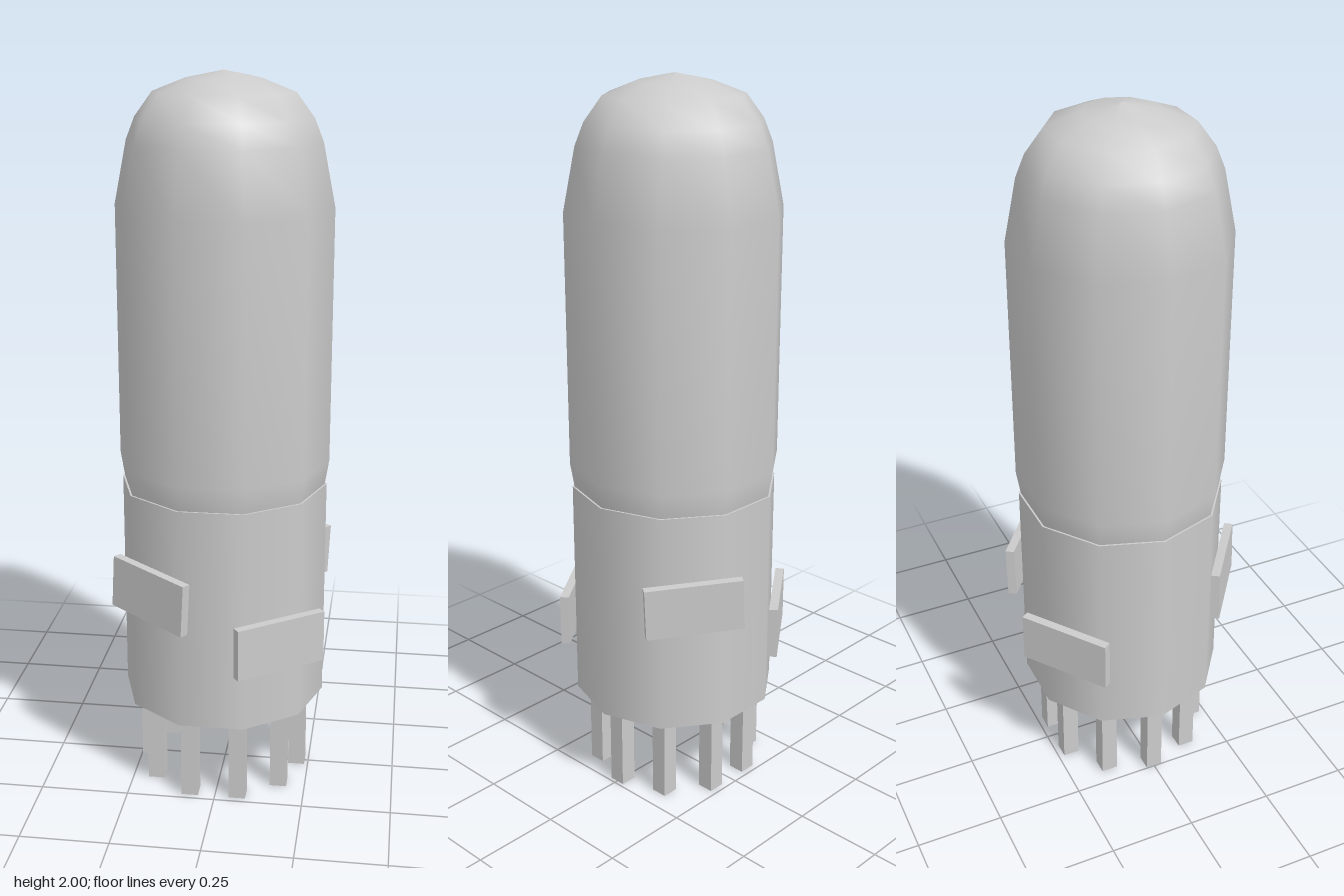
import * as THREE from 'three';

const SIDES = 10;
const CENTRE_X = -0.004;

export function createModel() {
  const group = new THREE.Group();
  const grey = new THREE.MeshStandardMaterial({ color: 0xcccccc });
  const greyDouble = new THREE.MeshStandardMaterial({ color: 0xcccccc, side: THREE.DoubleSide });

  function add(name, geometry, material, x, y, z) {
    const mesh = new THREE.Mesh(geometry, material);
    mesh.name = name;
    mesh.position.set(x, y, z);
    group.add(mesh);
    return mesh;
  }

  // Domed ten-sided envelope, its lower end tucked into the base
  const profile = [
    [0.25, 0.72], [0.283, 0.87], [0.296, 0.95], [0.296, 1.65], [0.262, 1.82],
    [0.238, 1.88], [0.19, 1.945], [0.1, 1.98], [0, 2],
  ].map(([r, y]) => new THREE.Vector2(r, y));
  const envelope = add('domedEnvelope', new THREE.LatheGeometry(profile, SIDES), grey, CENTRE_X, 0, 0);
  envelope.rotation.y = Math.PI / 2;

  // Base collar
  const base = add('base', new THREE.CylinderGeometry(0.29, 0.29, 0.635, SIDES), grey, CENTRE_X, 0.5625, 0);
  base.rotation.y = Math.PI / 2;

  // Ring of square pins, open at the ends
  const pin = new THREE.CylinderGeometry(0.0335, 0.0335, 0.25, 4, 1, true).toNonIndexed();
  pin.rotateY(Math.PI / 4);
  pin.computeVertexNormals();
  for (let i = 0; i < SIDES; i++) {
    const a = (i / SIDES) * Math.PI * 2;
    add('pin', pin, greyDouble, CENTRE_X + 0.22 * Math.cos(a), 0.125, 0.22 * Math.sin(a));
  }

  // Four side plates: one diagonal pair is higher and slightly tilted
  const plate = new THREE.BoxGeometry(0.272, 0.147, 0.025);
  const plates = [
    ['frontLeftPlate', 0.18, 0.49, 0.232, 1, 0],
    ['backRightPlate', -0.17, 0.49, -0.247, 1, 0],
    ['frontRightPlate', -0.175, 0.622, 0.245, -1, -0.05],
    ['backLeftPlate', 0.171, 0.622, -0.24, -1, -0.05],
  ];
  for (const [name, x, y, z, turn, tilt] of plates) {
    const mesh = add(name, plate, grey, x, y, z);
    mesh.rotation.set(0, turn * Math.PI / 5, tilt, 'ZYX');
  }

  return group;
}
